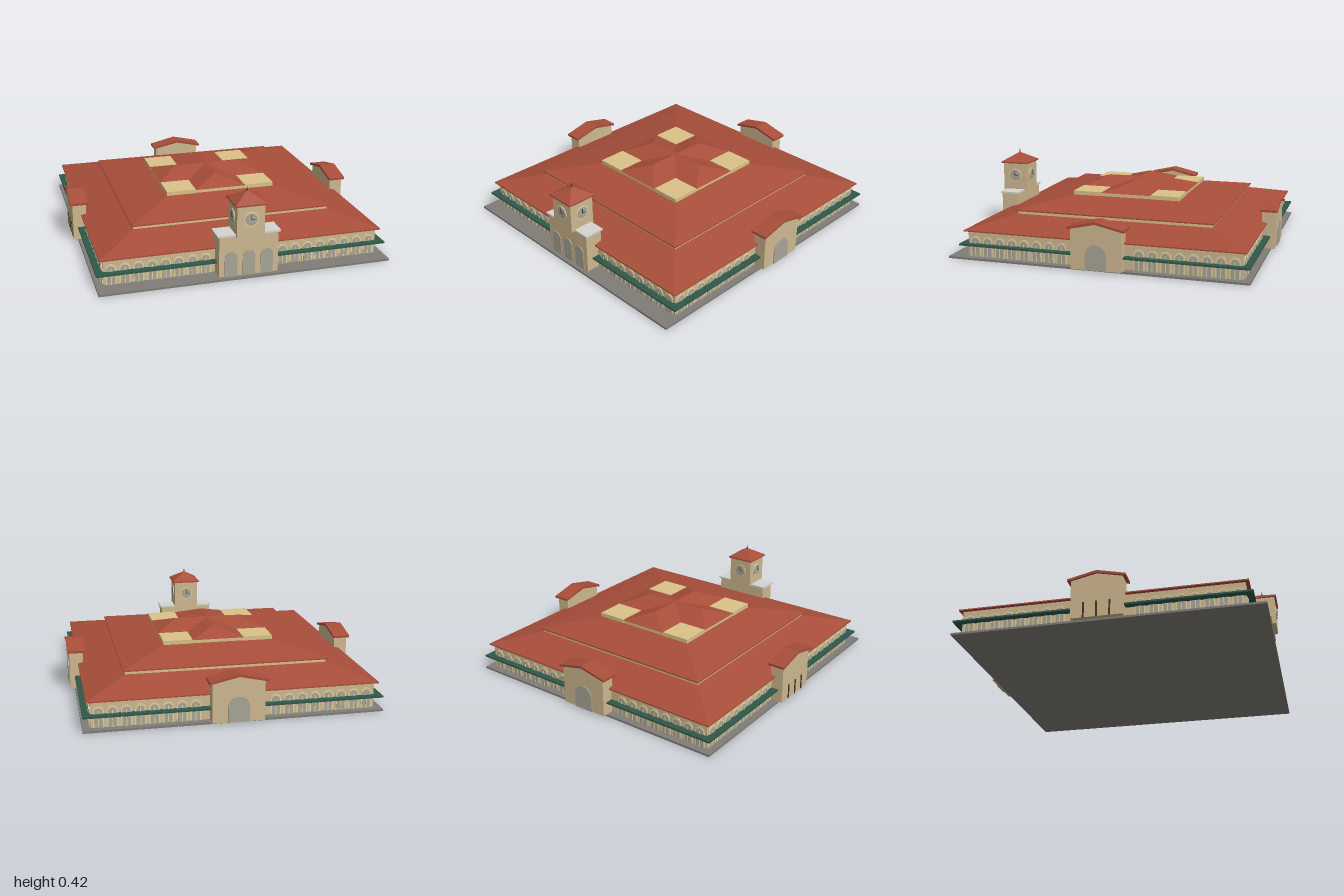
import * as THREE from 'three';

const mat = (name, color) => {
  const m = new THREE.MeshStandardMaterial({ color });
  m.name = name;
  return m;
};
const M = {
  roof: mat('red tile', 0xa84e3a),
  wall: mat('tan wall', 0xcfb88f),
  skylight: mat('pale yellow', 0xdac286),
  awning: mat('dark green', 0x2f5849),
  paving: mat('grey paving', 0x807d78),
  terrace: mat('pale grey', 0xd4d4d0),
  glass: mat('grey glass', 0xa9a596),
  frame: mat('cream trim', 0xe0cf9f),
  dark: mat('dark metal', 0x3a3632),
};

function add(parent, name, geo, material, x = 0, y = 0, z = 0) {
  const mesh = new THREE.Mesh(geo, material);
  mesh.name = name;
  mesh.position.set(x, y, z);
  parent.add(mesh);
  return mesh;
}

// box given by its centre in x and z and its bottom and top heights
function block(parent, name, material, w, y0, y1, d, x = 0, z = 0) {
  return add(parent, name, new THREE.BoxGeometry(w, y1 - y0, d), material, x, (y0 + y1) / 2, z);
}

// square hipped roof between two half widths
function hip(parent, name, h0, y0, h1, y1, material = M.roof) {
  const r = Math.SQRT2;
  let g = new THREE.CylinderGeometry(h1 * r, h0 * r, y1 - y0, 4);
  g.rotateY(Math.PI / 4);
  g = g.toNonIndexed();
  g.computeVertexNormals();
  return add(parent, name, g, material, 0, (y0 + y1) / 2, 0);
}

// extruded outline, running forward from z
function plate(parent, name, points, depth, material, z, x = 0, y = 0) {
  const shape = points instanceof THREE.Shape ? points
    : new THREE.Shape(points.map(p => new THREE.Vector2(p[0], p[1])));
  const g = new THREE.ExtrudeGeometry(shape, { depth, bevelEnabled: false, curveSegments: 8 });
  return add(parent, name, g, material, x, y, z);
}

function archShape(w, h) {
  const s = new THREE.Shape();
  s.moveTo(-w / 2, 0);
  s.lineTo(w / 2, 0);
  s.lineTo(w / 2, h - w / 2);
  s.absarc(0, h - w / 2, w / 2, 0, Math.PI, false);
  s.closePath();
  return s;
}

// cross-shaped top roof with four hipped arms
function crossRoof(parent) {
  const a = 0.125, e = 0.272, y = 0.268, top = 0.31, tip = 0.165;
  const A = [-a, y, e], B = [a, y, e], T = [0, top, tip], C = [0, top, 0];
  const V1 = [-a, y, a], V2 = [a, y, a];
  const tris = [A, B, T, B, V2, C, B, C, T, A, T, C, A, C, V1];
  for (let k = 0; k < 4; k++) {
    const g = new THREE.BufferGeometry();
    g.setAttribute('position', new THREE.Float32BufferAttribute(tris.flat(), 3));
    g.computeVertexNormals();
    add(parent, 'crossRoofArm', g, M.roof).rotation.y = k * Math.PI / 2;
  }
}

// arched windows and awning along one side
function facade(side) {
  for (const s of [-1, 1]) {
    for (let i = 0; i < 8; i++) {
      const x = s * (0.185 + i * 0.062);
      plate(side, 'windowFrame', archShape(0.05, 0.098), 0.003, M.frame, 0.655, x, 0.01);
      plate(side, 'windowPane', archShape(0.037, 0.09), 0.005, M.glass, 0.655, x, 0.01);
      block(side, 'mullion', M.frame, 0.004, 0.01, 0.088, 0.002, x, 0.661);
    }
  }
  block(side, 'awning', M.awning, 1.38, 0.066, 0.074, 0.04, 0, 0.67);
}

// gabled entrance pavilion
function pavilion(side, arched) {
  const g = new THREE.Group();
  g.name = 'pavilion';
  side.add(g);
  plate(g, 'pavilionWall', [[-0.12, 0.01], [0.12, 0.01], [0.12, 0.2], [0, 0.226], [-0.12, 0.2]],
    0.066, M.wall, 0.647);
  plate(g, 'pavilionRoof', [[-0.135, 0.194], [0, 0.224], [0.135, 0.194], [0.135, 0.205],
    [0, 0.236], [-0.135, 0.205]], 0.085, M.roof, 0.638);
  if (arched) {
    plate(g, 'pavilionArch', archShape(0.1, 0.12), 0.004, M.glass, 0.713, 0, 0.01);
  } else {
    for (const x of [-0.06, 0, 0.06]) {
      block(g, 'doorSlot', M.dark, 0.008, 0.01, 0.085, 0.004, x, 0.714);
    }
  }
}

// clock tower on its terraced entrance block
function tower(side) {
  const g = new THREE.Group();
  g.name = 'clockTower';
  side.add(g);
  block(g, 'towerBase', M.wall, 0.28, 0.01, 0.205, 0.088, 0, 0.678);
  block(g, 'terrace', M.terrace, 0.298, 0.205, 0.214, 0.1, 0, 0.678);
  for (const x of [-0.085, 0, 0.085]) {
    plate(g, 'entranceArch', archShape(0.058, 0.12), 0.004, M.glass, 0.722, x, 0.01);
  }
  const shaft = new THREE.Group();
  shaft.name = 'towerShaft';
  shaft.position.z = 0.68;
  g.add(shaft);
  block(shaft, 'shaftWall', M.wall, 0.13, 0.205, 0.357, 0.13);
  hip(shaft, 'towerEave', 0.074, 0.352, 0.074, 0.359);
  hip(shaft, 'towerRoof', 0.074, 0.359, 0.004, 0.402);
  add(shaft, 'finial', new THREE.ConeGeometry(0.005, 0.025, 8), M.dark, 0, 0.41, 0);
  for (let k = 0; k < 4; k++) {
    const face = new THREE.Group();
    face.name = 'clockFace';
    face.rotation.y = k * Math.PI / 2;
    shaft.add(face);
    const disc = (name, r, d, m) => {
      const c = new THREE.CylinderGeometry(r, r, d, 24);
      c.rotateX(Math.PI / 2);
      add(face, name, c, m, 0, 0.288, 0.065 + d / 2);
    };
    disc('clockRim', 0.035, 0.003, M.frame);
    disc('clockDial', 0.029, 0.005, M.glass);
    block(face, 'minuteHand', M.dark, 0.003, 0.288, 0.311, 0.002, 0, 0.071);
    block(face, 'hourHand', M.dark, 0.016, 0.2865, 0.2895, 0.002, 0.007, 0.071);
  }
}

export function createModel() {
  const root = new THREE.Group();
  root.name = 'marketHall';

  // the hall stands diagonally on the plot
  const hall = new THREE.Group();
  hall.name = 'hall';
  hall.position.set(-0.02, 0, -0.02);
  hall.rotation.y = 0.832;
  root.add(hall);

  block(hall, 'paving', M.paving, 1.382, 0, 0.01, 1.437, 0, 0.0265);
  block(hall, 'outerWall', M.wall, 1.31, 0.01, 0.133, 1.31);

  // stepped roofs with clerestory bands between them
  hip(hall, 'lowerEave', 0.672, 0.131, 0.672, 0.137);
  hip(hall, 'lowerRoof', 0.672, 0.137, 0.475, 0.187);
  block(hall, 'lowerClerestory', M.skylight, 0.956, 0.17, 0.203, 0.956);
  hip(hall, 'middleEave', 0.488, 0.201, 0.488, 0.207);
  hip(hall, 'middleRoof', 0.488, 0.207, 0.262, 0.253);
  block(hall, 'upperClerestory', M.skylight, 0.536, 0.235, 0.268, 0.536);
  for (const x of [-0.198, 0.198]) {
    for (const z of [-0.198, 0.198]) {
      block(hall, 'skylight', M.skylight, 0.144, 0.25, 0.271, 0.144, x, z);
    }
  }
  crossRoof(hall);

  // four sides, the first carrying the tower
  for (let k = 0; k < 4; k++) {
    const side = new THREE.Group();
    side.name = 'side';
    side.rotation.y = k * Math.PI / 2;
    hall.add(side);
    facade(side);
    if (k === 0) tower(side);
    else pavilion(side, k !== 3);
  }
  return root;
}
